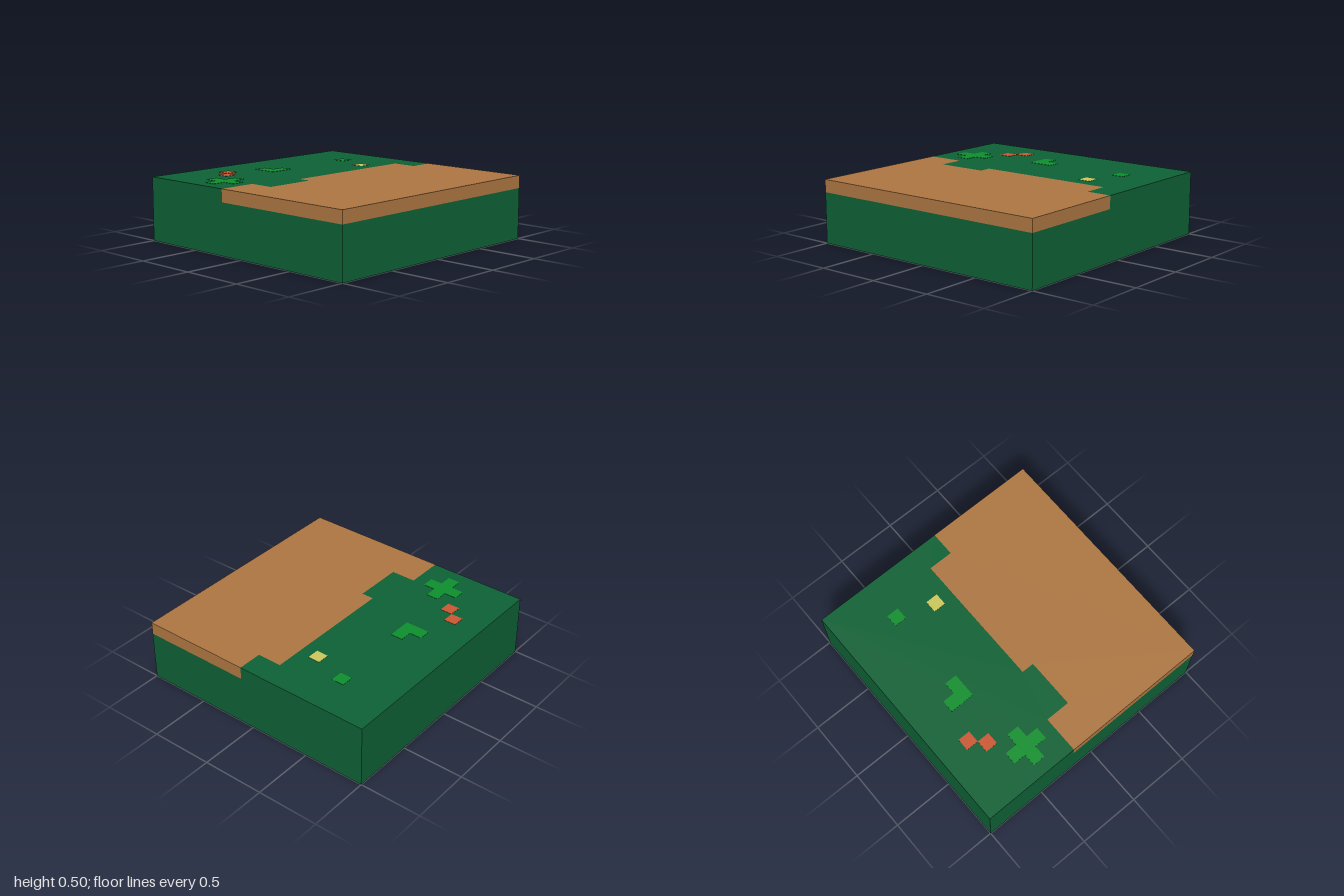
import * as THREE from 'three';

const paint = (name, color) => {
  const m = new THREE.MeshStandardMaterial({ color });
  m.name = name;
  return m;
};

// Closed outline from [x, z] points on the ground plane
const outline = (pts) => new THREE.Shape(pts.map(([x, z]) => new THREE.Vector2(x, -z)));
const rect = (x0, z0, x1, z1) => [[x0, z0], [x1, z0], [x1, z1], [x0, z1]];

export function createModel() {
  const group = new THREE.Group();
  group.name = 'terrainTile';

  const green = paint('dark green', 0x0e6135);
  const brown = paint('earth brown', 0xad7642);
  const leaf = paint('leaf green', 0x0e8f2e);
  const yellow = paint('flower yellow', 0xcbc85c);
  const red = paint('flower red', 0xc95833);

  // Horizontal slab of the given outline between two heights
  function slab(name, pts, y0, y1, material, hole) {
    const shape = outline(pts);
    if (hole) shape.holes.push(outline(hole));
    const geo = new THREE.ExtrudeGeometry(shape, { depth: y1 - y0, bevelEnabled: false });
    geo.rotateX(-Math.PI / 2);
    const mesh = new THREE.Mesh(geo, material);
    mesh.name = name;
    mesh.position.y = y0;
    group.add(mesh);
  }

  // Base block with an earth patch set into its underside
  const patch = [
    [0.6, 0.9], [-0.2, 0.9], [-0.2, 0.2], [-0.8, 0.2], [-0.8, -0.3], [-0.5, -0.3], [-0.5, -0.6],
    [-0.2, -0.6], [-0.2, -0.1], [0.3, -0.1], [0.3, -0.6], [0.4, -0.6], [0.4, -0.2], [0.6, -0.2],
  ];
  slab('base', rect(-1, -1, 1, 1), 0, 0.4, green, patch);
  slab('undersidePatch', patch, 0, 0.4, brown);

  // Top layer: grass and path meet along a stepped edge
  const edge = [
    [0.1, -1], [0.1, -0.8], [-0.1, -0.8], [-0.1, 0.3],
    [0, 0.3], [0, 0.7], [-0.2, 0.7], [-0.2, 1],
  ];
  slab('grass', [[-1, -1], ...edge, [-1, 1]], 0.4, 0.5, green);
  slab('path', [[1, -1], ...edge, [1, 1]], 0.4, 0.5, brown);

  // Painted plants on the grass
  const plate = (name, pts, material) => slab(name, pts, 0.498, 0.502, material);
  plate('smallTuft', rect(-0.6, -0.7, -0.5, -0.6), leaf);
  plate('cornerTuft', [[-0.6, 0], [-0.5, 0], [-0.5, 0.2], [-0.7, 0.2], [-0.7, 0.1], [-0.6, 0.1]], leaf);
  plate('crossTuft', [
    [-0.5, 0.6], [-0.4, 0.6], [-0.4, 0.7], [-0.3, 0.7], [-0.3, 0.8], [-0.4, 0.8],
    [-0.4, 0.9], [-0.5, 0.9], [-0.5, 0.8], [-0.6, 0.8], [-0.6, 0.7], [-0.5, 0.7],
  ], leaf);
  plate('yellowFlower', rect(-0.3, -0.6, -0.2, -0.5), yellow);
  plate('redFlowerBack', rect(-0.8, 0.4, -0.7, 0.5), red);
  plate('redFlowerFront', rect(-0.7, 0.5, -0.6, 0.6), red);

  return group;
}
